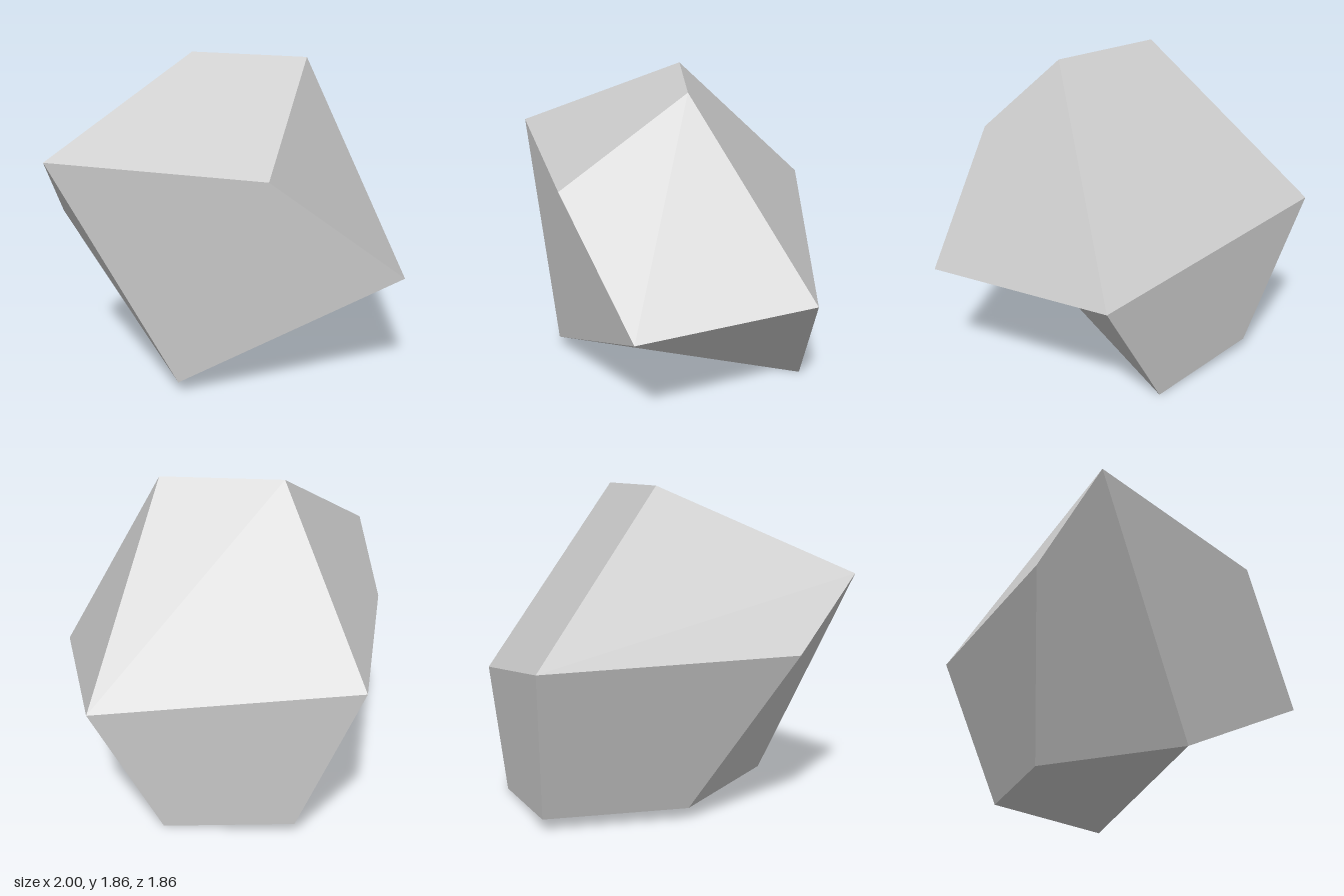
import * as THREE from 'three';

// Corners of the boulder
const P = {
  topRight: [-0.4, 1.86, -0.08], topLeft: [0.318, 1.86, -0.08],
  browLeft: [0.318, 1.297, 0.648], browRight: [-0.865, 1.378, 0.93],
  sideRight: [-1, 0.97, 0.51], sideLeft: [1, 0.685, 0.242],
  backRight: [-0.89, 0.967, -0.93], backLeft: [0.625, 0.685, -0.81],
  footFront: [-0.2, 0.073, 0.722], footRight: [-0.69, 0.073, 0],
  footBack: [-0.54, 0.073, -0.81], footLeft: [0.205, 0, -0.81],
};

// Four-cornered facets; each folds along its first-to-third corner
const FACETS = [
  ['topLeft', 'browLeft', 'sideLeft', 'backLeft'],
  ['topRight', 'browRight', 'browLeft', 'topLeft'],
  ['browLeft', 'browRight', 'footFront', 'sideLeft'],
  ['browRight', 'topRight', 'backRight', 'sideRight'],
  ['topRight', 'topLeft', 'backLeft', 'backRight'],
  ['sideRight', 'browRight', 'footFront', 'footRight'],
  ['backRight', 'sideRight', 'footRight', 'footBack'],
  ['backRight', 'backLeft', 'footLeft', 'footBack'],
  ['footFront', 'sideLeft', 'backLeft', 'footLeft'],
  ['footRight', 'footFront', 'footLeft', 'footBack'],
];

// Each facet gets one averaged normal, so it shades as a single flat plane
function facetGeometry(facets) {
  const centre = new THREE.Vector3(0, 0.93, 0);
  const positions = [], normals = [];
  for (const names of facets) {
    let [a, b, c, d] = names.map((n) => new THREE.Vector3(...P[n]));
    const normal = c.clone().sub(a).cross(d.clone().sub(b)).normalize();
    const middle = a.clone().add(b).add(c).add(d).multiplyScalar(0.25);
    if (normal.dot(middle.sub(centre)) < 0) {
      normal.negate();
      [b, d] = [d, b];
    }
    for (const v of [a, b, c, a, c, d]) {
      positions.push(v.x, v.y, v.z);
      normals.push(normal.x, normal.y, normal.z);
    }
  }
  const geometry = new THREE.BufferGeometry();
  geometry.setAttribute('position', new THREE.Float32BufferAttribute(positions, 3));
  geometry.setAttribute('normal', new THREE.Float32BufferAttribute(normals, 3));
  return geometry;
}

export function createModel() {
  const stone = new THREE.MeshStandardMaterial({ color: 0xcccccc });
  stone.name = 'stone grey';
  const boulder = new THREE.Mesh(facetGeometry(FACETS), stone);
  boulder.name = 'boulder';
  const model = new THREE.Group();
  model.name = 'rock';
  model.add(boulder);
  return model;
}
